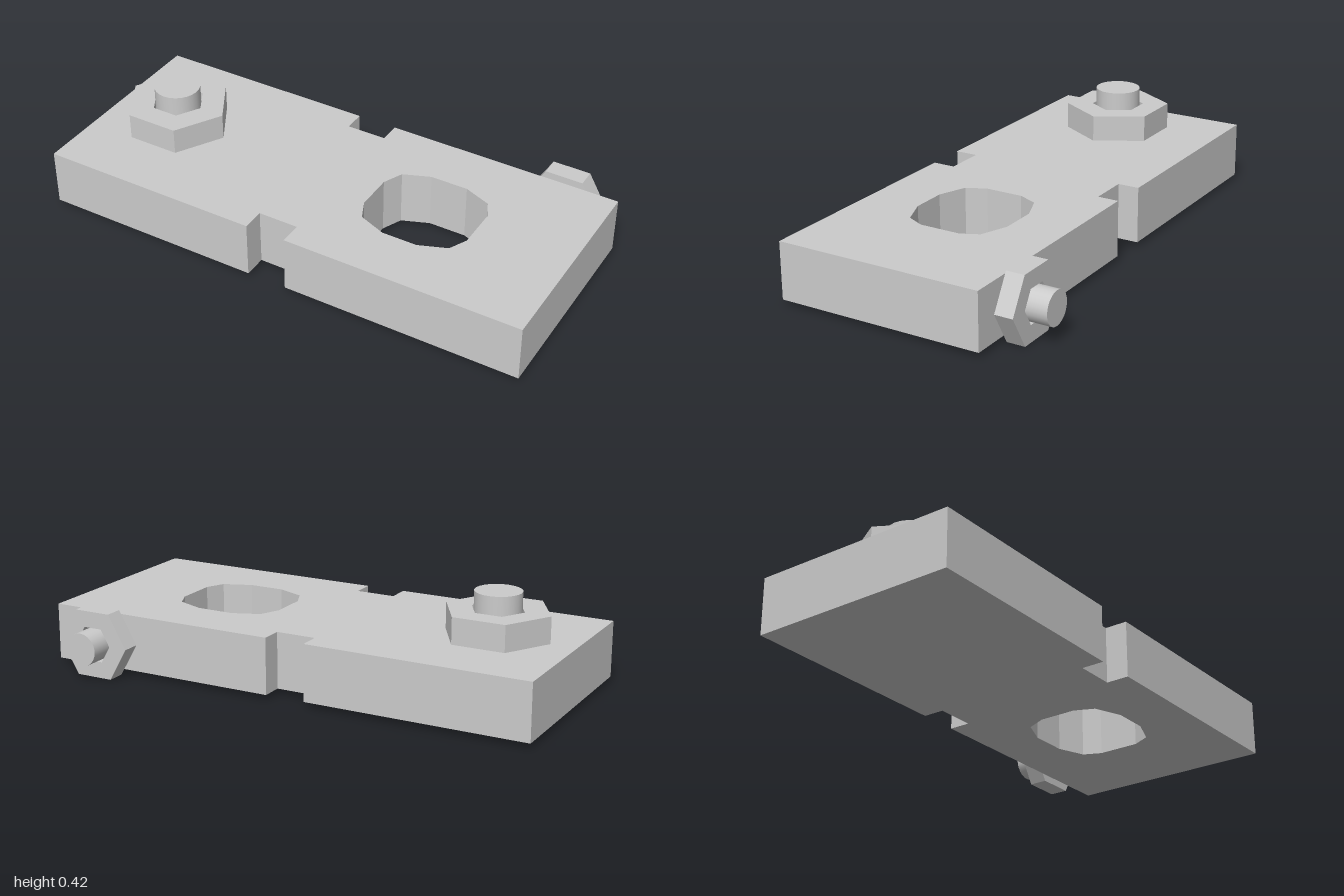
import * as THREE from 'three';

const material = new THREE.MeshStandardMaterial({ color: 0xcccccc });

// Points become a closed loop for a shape or a hole
const points = (list) => list.map(([x, y]) => new THREE.Vector2(x, y));

const hexagon = (radius) => points(Array.from({ length: 6 }, (_, i) => {
  const a = (i * Math.PI) / 3;
  return [radius * Math.cos(a), radius * Math.sin(a)];
}));

// Extrudes an outline with one hole upward from y = 0
function slab(outline, hole, height) {
  const shape = new THREE.Shape(outline);
  shape.holes.push(new THREE.Path(hole));
  const geometry = new THREE.ExtrudeGeometry(shape, { depth: height, bevelEnabled: false });
  return geometry.rotateX(-Math.PI / 2);
}

function addMesh(parent, name, geometry, y = 0) {
  const mesh = new THREE.Mesh(geometry, material);
  mesh.name = name;
  mesh.position.y = y;
  parent.add(mesh);
  return mesh;
}

// Hexagonal nut on a round stud, standing on its local y = 0
function createFastener(name) {
  const group = new THREE.Group();
  group.name = name;
  addMesh(group, 'nut', slab(hexagon(0.208), hexagon(0.105), 0.104), 0.007);
  addMesh(group, 'stud', new THREE.CylinderGeometry(0.09, 0.09, 0.19, 24), 0.086);
  return group;
}

export function createModel() {
  const model = new THREE.Group();
  model.name = 'notchedPlateWithBolts';

  // Plate with a notch in each long edge and a faceted opening (x, -z)
  const front = -0.494, back = 0.332;
  const outline = points([
    [-1, front], [-0.11, front], [-0.11, -0.404], [0.05, -0.404], [0.05, front], [1, front],
    [1, back], [0.05, back], [0.05, 0.247], [-0.11, 0.247], [-0.11, back], [-1, back],
  ]);
  const opening = points([
    [0.33, 0.116], [0.48, 0.116], [0.588, 0.074], [0.62, 0.005], [0.62, -0.16], [0.585, -0.232],
    [0.475, -0.275], [0.335, -0.275], [0.225, -0.232], [0.19, -0.155], [0.19, -0.005], [0.225, 0.074],
  ]);
  addMesh(model, 'plate', slab(outline, opening, 0.223), 0.022);

  // Large fastener on the top face
  const topFastener = createFastener('topFastener');
  topFastener.position.set(-0.697, 0.245, 0.078);
  model.add(topFastener);

  // Smaller fastener on the back edge, pointing to -z
  const backFastener = createFastener('backFastener');
  backFastener.scale.setScalar(0.727);
  backFastener.scale.y = 0.91;
  backFastener.scale.y = 0.71 + 0.2;
  backFastener.rotation.x = -Math.PI / 2;
  backFastener.position.set(0.773, 0.133, -0.332);
  // Keep the nut and stud at their own thinner proportions
  const [nut, stud] = backFastener.children;
  nut.scale.y = 0.77;
  nut.position.y = 0.014;
  stud.position.y = 0.086;
  model.add(backFastener);

  return model;
}
